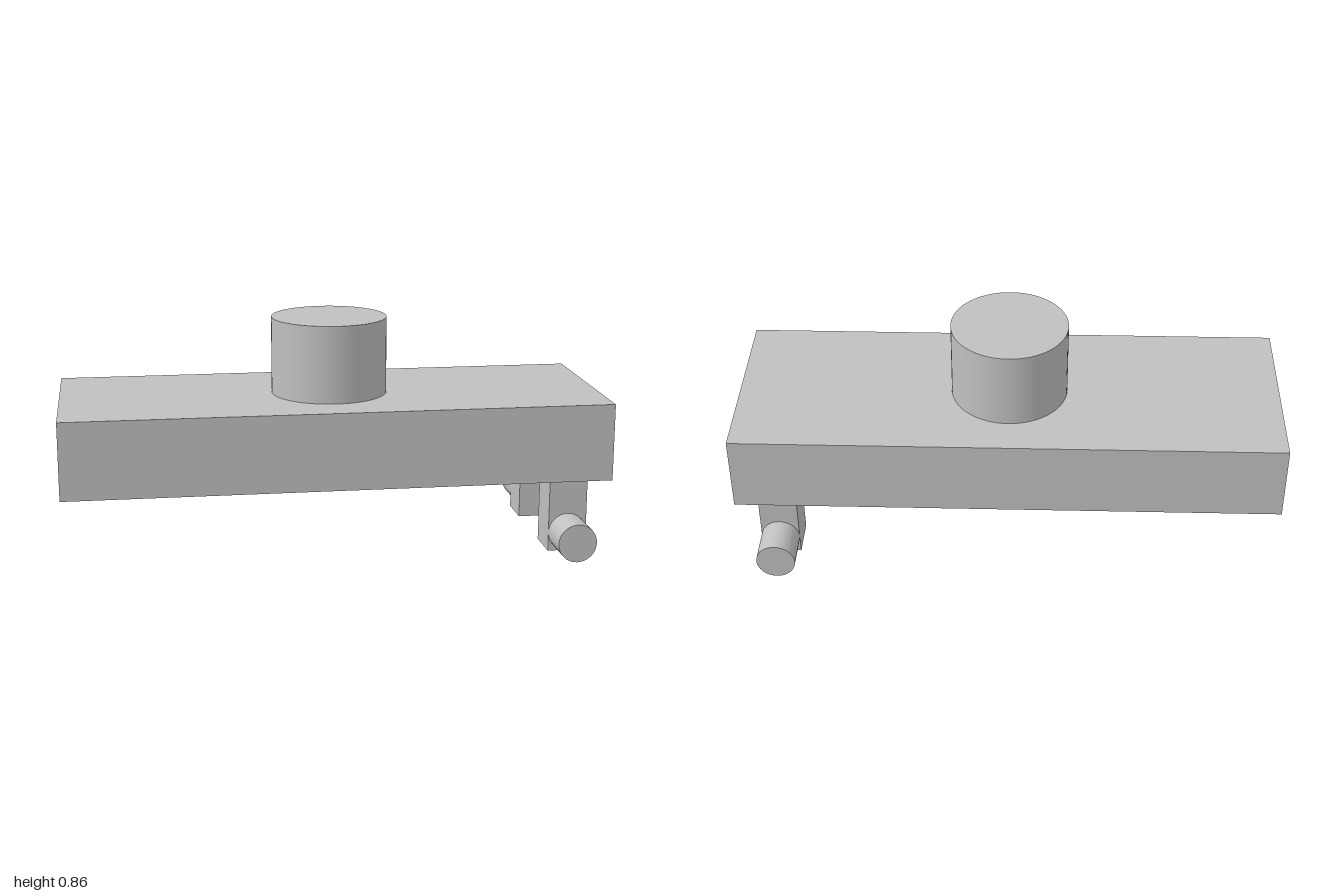
import * as THREE from 'three';

// One unit block; every part is a multiple of it
const U = 1 / 7;

export function createModel() {
  const model = new THREE.Group();
  const grey = new THREE.MeshStandardMaterial({ color: 0xc0c0c0 });
  grey.name = 'light grey';

  const add = (name, geometry, x, y, z) => {
    const mesh = new THREE.Mesh(geometry, grey);
    mesh.name = name;
    mesh.position.set(x * U, y * U, z * U);
    model.add(mesh);
    return mesh;
  };

  // Long slab and the round post on top
  add('slab', new THREE.BoxGeometry(14 * U, 2 * U, 5 * U), 0, 3, 0);
  add('topPost', new THREE.CylinderGeometry(1.5 * U, 1.5 * U, 2 * U, 64), 0, 5, 0);

  // A leg with an outward peg on each side, near the left end
  const legGeometry = new THREE.BoxGeometry(U, 2 * U, U);
  const pegGeometry = new THREE.CylinderGeometry(U / 2, U / 2, U, 48).rotateX(Math.PI / 2);
  for (const [side, s] of [['front', 1], ['back', -1]]) {
    add(side + 'Leg', legGeometry, 6, 1, s * 1.5);
    add(side + 'Peg', pegGeometry, 6, 0.5, s * 2.5);
  }

  return model;
}
